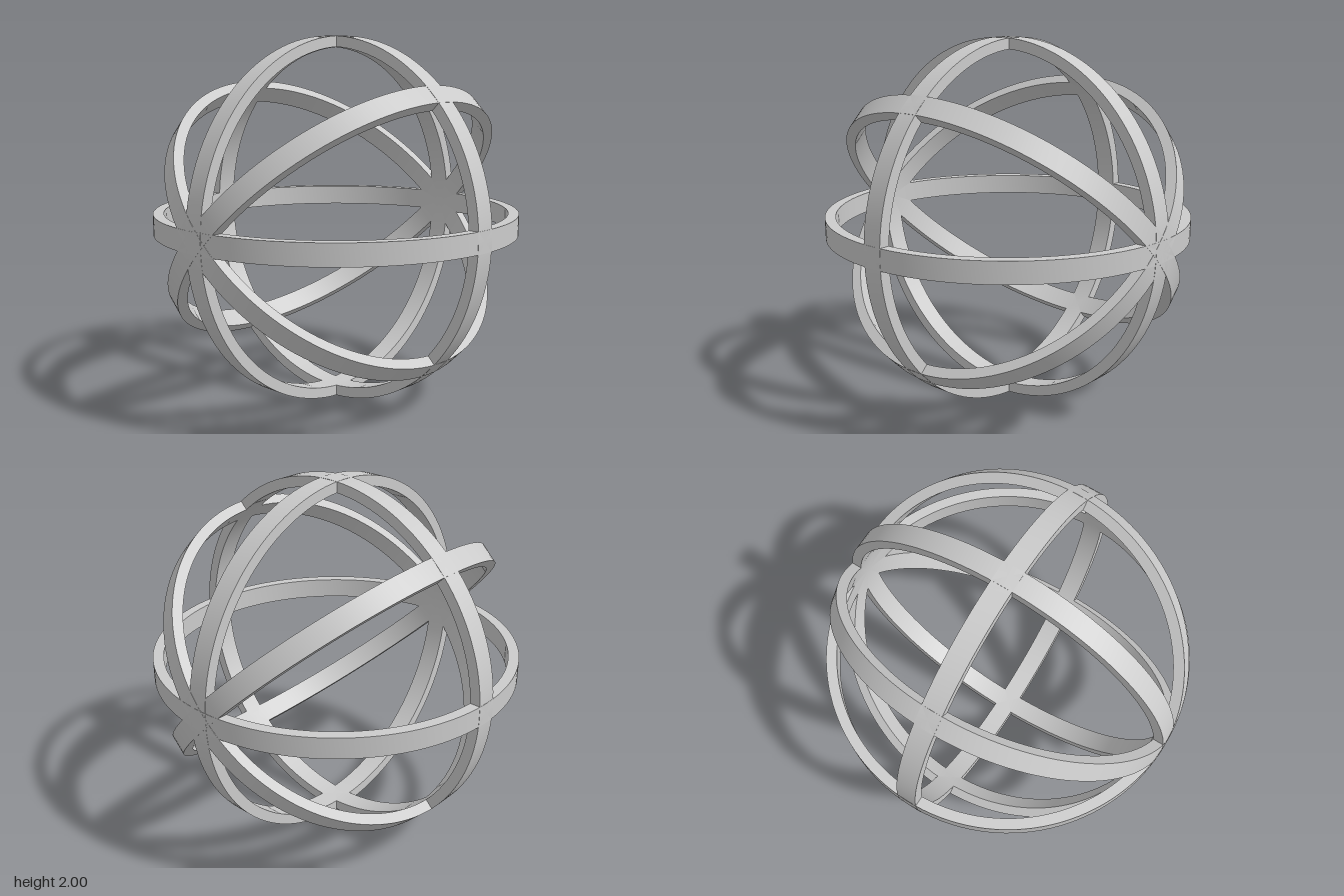
import * as THREE from 'three';
import { toCreasedNormals } from 'three/addons/utils/BufferGeometryUtils.js';

const OUTER = 1, INNER = 0.942, HALF_WIDTH = 0.057;

// Flat band with a rectangular section, turned about the y axis
function bandGeometry() {
  const profile = [
    [INNER, -HALF_WIDTH], [OUTER, -HALF_WIDTH], [OUTER, HALF_WIDTH],
    [INNER, HALF_WIDTH], [INNER, -HALF_WIDTH],
  ].map(([r, y]) => new THREE.Vector2(r, y));
  return toCreasedNormals(new THREE.LatheGeometry(profile, 128), Math.PI / 6);
}

export function createModel() {
  const model = new THREE.Group();
  model.name = 'ringSphere';
  const material = new THREE.MeshStandardMaterial({ color: 0xcccccc });
  const geometry = bandGeometry();

  function addRing(name, rx, rz) {
    const ring = new THREE.Mesh(geometry, material);
    ring.name = name;
    ring.rotation.set(rx, 0, rz);
    ring.position.y = OUTER;
    model.add(ring);
  }

  // Four rings meeting at the front and back poles, 45 degrees apart
  const names = ['horizontalRing', 'risingDiagonalRing', 'sideRing', 'fallingDiagonalRing'];
  names.forEach((name, i) => addRing(name, 0, i * Math.PI / 4));

  // Upright ring facing the front, crossing the other four
  addRing('frontFacingRing', Math.PI / 2, 0);

  return model;
}
